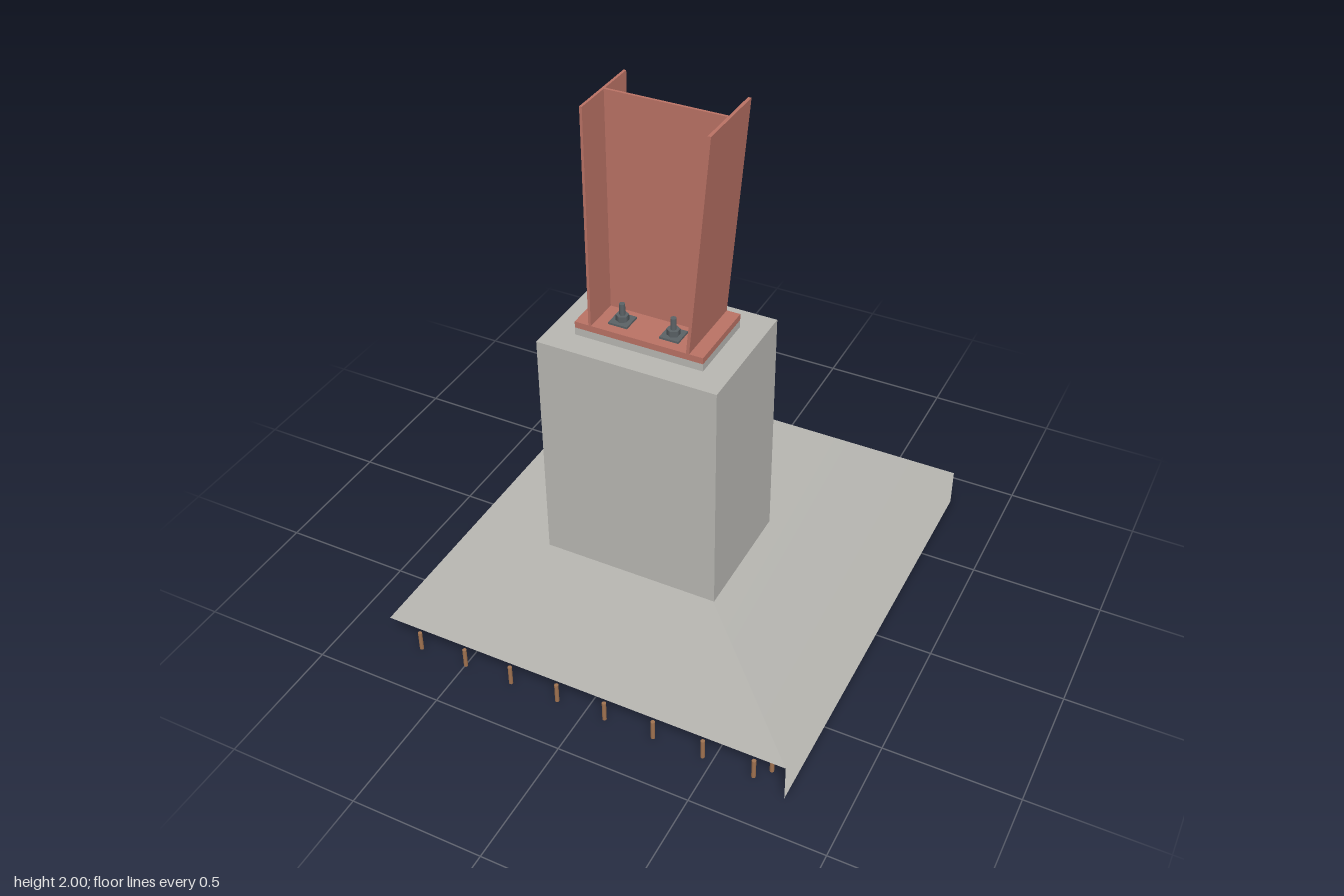
import * as THREE from 'three';

const mat = (name, color, side = THREE.FrontSide) => {
  const m = new THREE.MeshStandardMaterial({ color, side });
  m.name = name;
  return m;
};

export function createModel() {
  const root = new THREE.Group();
  root.name = 'columnFooting';
  const concrete = mat('concrete grey', 0xb8b7b2);
  const concreteSheet = mat('concrete sheet grey', 0xb8b7b2, THREE.DoubleSide);
  const steel = mat('primer red steel', 0xba7265);
  const bolt = mat('bolt dark grey', 0x5b6266);
  const rebar = mat('rebar brown', 0xa07250);

  const add = (name, geo, material, parent = root) => {
    const m = new THREE.Mesh(geo, material);
    m.name = name;
    parent.add(m);
    return m;
  };
  // Box from its minimum and maximum corners
  const box = (name, x0, x1, y0, y1, z0, z1, material, parent) => {
    const m = add(name, new THREE.BoxGeometry(x1 - x0, y1 - y0, z1 - z0), material, parent);
    m.position.set((x0 + x1) / 2, (y0 + y1) / 2, (z0 + z1) / 2);
    return m;
  };
  // Round bar between two points
  const bar = (name, a, b, r, material, parent) => {
    const p = new THREE.Vector3(...a), d = new THREE.Vector3(...b).sub(p);
    const m = add(name, new THREE.CylinderGeometry(r, r, d.length(), 10), material, parent);
    m.quaternion.setFromUnitVectors(new THREE.Vector3(0, 1, 0), d.clone().normalize());
    m.position.copy(p).addScaledVector(d, 0.5);
    return m;
  };

  // Open footing: a top sheet and one side sheet, with softened normals along their shared edge
  const X = 0.785, Z = 0.85, H = 0.15, n = Math.SQRT1_2;
  const footing = new THREE.BufferGeometry();
  footing.setAttribute('position', new THREE.Float32BufferAttribute([
    -X, H, Z, X, H, Z, -X, H, -Z,
    -X, H, -Z, X, H, Z, X, H, -Z,
    X, H, Z, X, 0, Z, X, 0, -Z, X, H, -Z], 3));
  footing.setAttribute('normal', new THREE.Float32BufferAttribute([
    0, 1, 0, 0, 1, 0, 0, 1, 0,
    0, 1, 0, n, n, 0, n, n, 0,
    n, n, 0, n, n, 0, n, n, 0, n, n, 0], 3));
  footing.setIndex([0, 1, 2, 3, 4, 5, 6, 7, 8, 6, 8, 9]);
  add('footing', footing, concreteSheet);

  // Pedestal and grout bed
  box('pedestal', -0.465, 0.235, H, 1.1, -0.25, 0.25, concrete);
  box('grout', -0.365, 0.135, 1.1, 1.13, -0.15, 0.15, concrete);

  // Base plate and tapered I column
  box('basePlate', -0.365, 0.135, 1.13, 1.155, -0.15, 0.15, steel);
  const column = new THREE.Group();
  column.name = 'column';
  root.add(column);
  const extrudeXY = (name, pts, depth) => {
    const g = new THREE.ExtrudeGeometry(
      new THREE.Shape(pts.map(p => new THREE.Vector2(...p))), { depth, bevelEnabled: false });
    g.translate(0, 0, -depth / 2);
    return add(name, g, steel, column);
  };
  extrudeXY('straightFlange', [[-0.31, 1.155], [-0.3, 1.155], [-0.3, 2], [-0.31, 2]], 0.3);
  extrudeXY('slopedFlange', [[0.07, 1.155], [0.082, 1.155], [0.157, 2], [0.145, 2]], 0.3);
  extrudeXY('web', [[-0.3, 1.155], [0.07, 1.155], [0.145, 2], [-0.3, 2]], 0.01);

  // Anchor bolts: square washer, hex nut and threaded end
  for (const x of [-0.215, -0.015]) for (const z of [-0.075, 0.075]) {
    const g = new THREE.Group();
    g.name = 'anchorBolt';
    g.position.set(x, 1.155, z);
    root.add(g);
    box('washer', -0.037, 0.037, 0, 0.008, -0.037, 0.037, bolt, g);
    add('nut', new THREE.CylinderGeometry(0.024, 0.024, 0.022, 6), bolt, g).position.y = 0.019;
    bar('thread', [0, 0, 0], [0, 0.075, 0], 0.011, bolt, g);
  }

  // Short footing bars along three edges
  for (let i = 0; i < 8; i++) {
    const x = -0.69 + i * 0.192;
    for (const z of [-0.81, 0.81]) bar('footingBar', [x, 0, z], [x, 0.08, z], 0.008, rebar);
    const z = 0.76 - i * 0.193;
    bar('footingBar', [0.7, 0, z], [0.7, 0.08, z], 0.008, rebar);
  }

  // Pedestal bars with a hooked tie around them
  for (const x of [-0.4, -0.115, 0.168]) for (const z of [-0.19, 0.19])
    bar('pedestalBar', [x, 0, z], [x, H, z], 0.009, rebar);
  const a = -0.41, b = 0.18, c = 0.2, y = 0.09;
  const ring = [[a, y, c], [b, y, c], [b, y, -c], [a, y, -c]];
  ring.forEach((p, i) => bar('tie', p, ring[(i + 1) % 4], 0.005, rebar));
  bar('tieHook', [a, 0.08, c], [-0.33, 0.08, c - 0.07], 0.005, rebar);
  bar('tieHook', [a, y, c - 0.02], [-0.34, y, c - 0.09], 0.005, rebar);

  return root;
}
